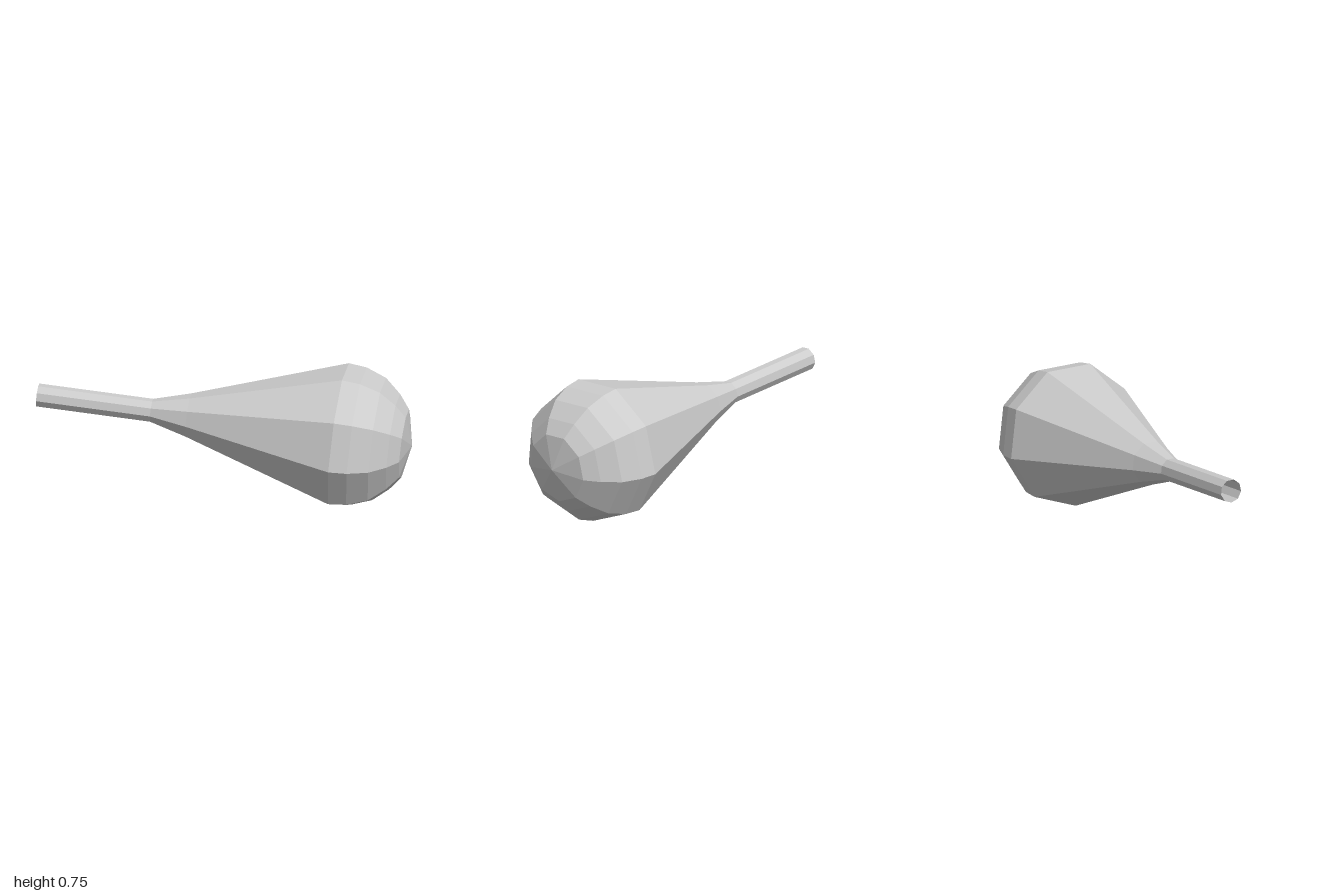
import * as THREE from 'three';

export function createModel() {
  const group = new THREE.Group();
  const material = new THREE.MeshStandardMaterial({
    color: 0xcccccc, flatShading: true, side: THREE.DoubleSide,
  });

  // Tilted axis running from the open handle end to the rounded tip
  const start = new THREE.Vector3(-0.993, 0.535, 0.165);
  const tip = new THREE.Vector3(0.998, 0.355, -0.039);
  const axis = tip.clone().sub(start);
  const length = axis.length();
  axis.normalize();

  // Profile rings: [x position along the axis, radius]
  const rings = [
    [-0.993, 0.063], [-0.387, 0.063], [-0.19, 0.119], [0.611, 0.388],
    [0.707, 0.378], [0.815, 0.337], [0.9, 0.262], [0.957, 0.188], [0.998, 0],
  ];
  const points = rings.map(([x, r]) =>
    new THREE.Vector2(r, (x - start.x) / (tip.x - start.x) * length));

  // Nine-sided shell, with one corner line turned straight down
  const bulb = new THREE.Mesh(new THREE.LatheGeometry(points, 9), material);
  bulb.name = 'handleAndBulb';
  const down = new THREE.Vector3(0, -1, 0);
  down.addScaledVector(axis, -down.dot(axis)).normalize();
  const side = new THREE.Vector3().crossVectors(axis, down);
  bulb.quaternion.setFromRotationMatrix(new THREE.Matrix4().makeBasis(side, axis, down));
  bulb.position.copy(start);
  group.add(bulb);
  return group;
}
